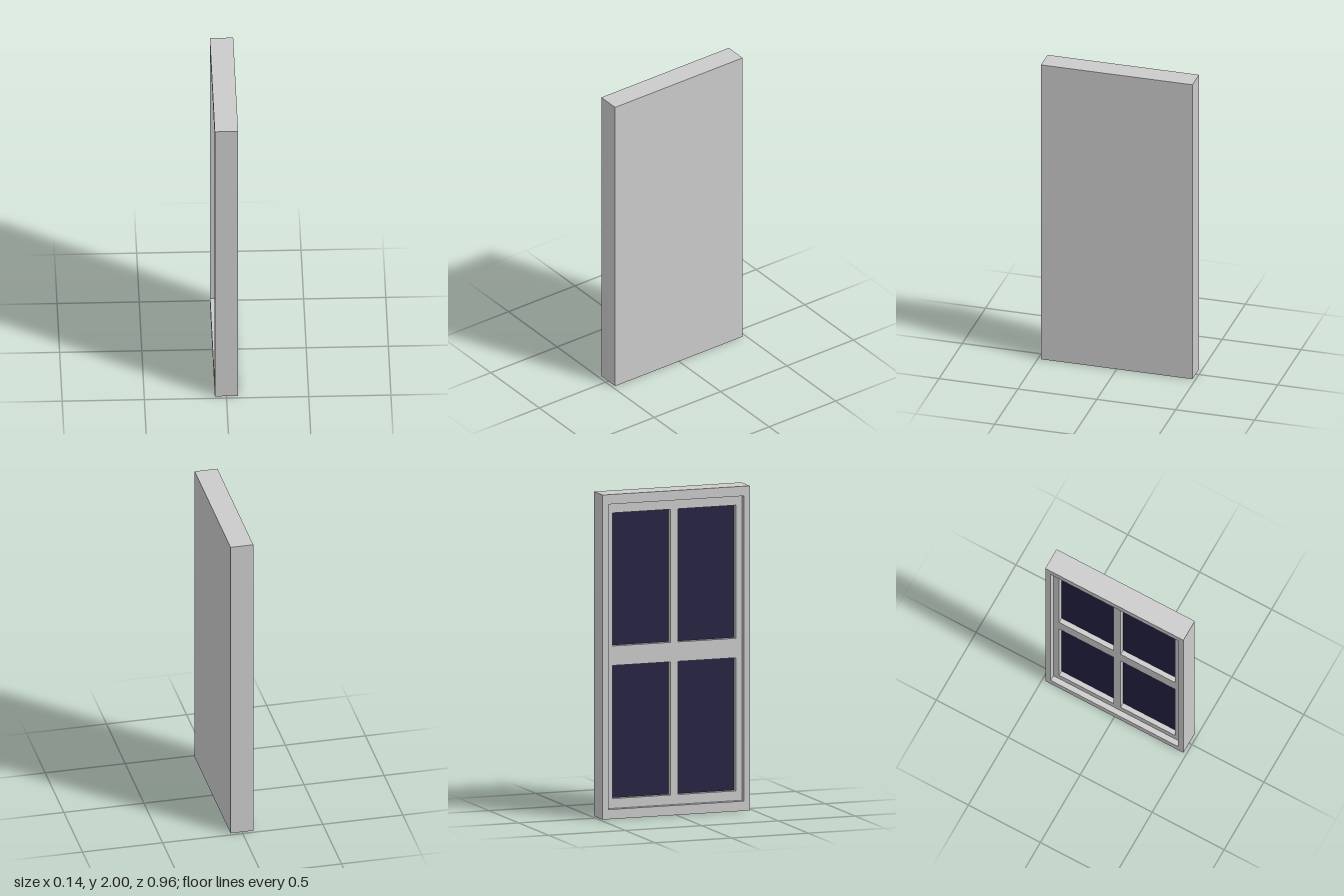
import * as THREE from 'three';

const W = 0.96, H = 2, T = 0.142;        // overall width (z), height (y), thickness (x)
const FRAME_DEPTH = T / 2;               // frame stands out from the back panel at x = 0
const SASH_DEPTH = 0.036, GLASS_DEPTH = 0.005;

const grey = new THREE.MeshStandardMaterial({ color: 0xcccccc });
const glass = new THREE.MeshStandardMaterial({ color: 0x222040 });

// Rectangle corners, centred at (z, y)
function rect(z, y, w, h) {
  return [[-1, -1], [1, -1], [1, 1], [-1, 1]].map(
    ([a, b]) => new THREE.Vector2(z + a * w / 2, y + b * h / 2));
}

// Plate with rectangular holes in the z-y plane, from x = 0 out to x = -depth
function plate(name, outline, holes, depth, material) {
  const shape = new THREE.Shape(outline);
  shape.holes = holes.map((h) => new THREE.Path(h));
  const geometry = new THREE.ExtrudeGeometry(shape, { depth, bevelEnabled: false });
  geometry.rotateY(-Math.PI / 2);
  const mesh = new THREE.Mesh(geometry, material);
  mesh.name = name;
  return mesh;
}

export function createModel() {
  const group = new THREE.Group();
  group.name = 'window';

  // Solid back half
  const back = new THREE.Mesh(new THREE.BoxGeometry(T / 2, H, W), grey);
  back.name = 'backPanel';
  back.position.set(T / 4, H / 2, 0);
  group.add(back);

  // Outer frame with one large opening
  const opening = rect(0, H / 2, 0.885, 1.88);
  group.add(plate('outerFrame', rect(0, H / 2, W, H), [opening], FRAME_DEPTH, grey));

  // Recessed sash with four panes
  const panes = [];
  for (const y of [0.53, 1.47])
    for (const z of [-0.214, 0.214]) panes.push(rect(z, y, 0.378, 0.82));
  group.add(plate('sash', opening, panes, SASH_DEPTH, grey));

  // Dark glass set behind the sash
  panes.forEach((p, i) => group.add(plate(`glassPane${i + 1}`, p, [], GLASS_DEPTH, glass)));

  return group;
}
